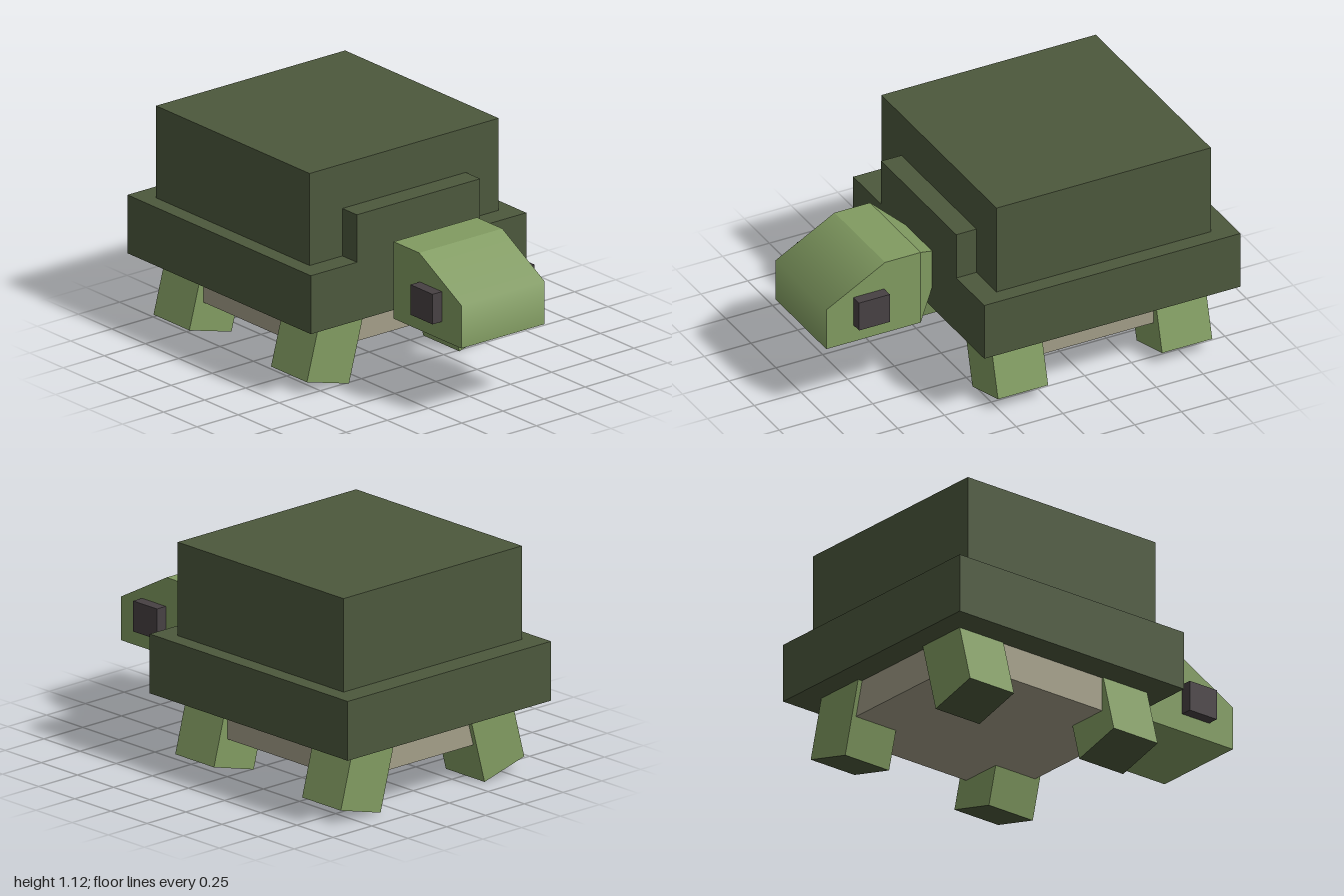
import * as THREE from 'three';

const material = (name, color) => {
  const m = new THREE.MeshStandardMaterial({ color });
  m.name = name;
  return m;
};

export function createModel() {
  const model = new THREE.Group();
  model.name = 'turtle';
  const shellGreen = material('shellGreen', 0x4c583c);
  const skinGreen = material('skinGreen', 0x819b61);
  const bellyTan = material('bellyTan', 0xa39e88);
  const eyeDark = material('eyeDark', 0x474143);

  const add = (name, geometry, mat) => {
    const mesh = new THREE.Mesh(geometry, mat);
    mesh.name = name;
    model.add(mesh);
    return mesh;
  };
  // Box given by its extents along each axis
  const block = (name, [x0, x1], [y0, y1], [z0, z1], mat) => {
    const mesh = add(name, new THREE.BoxGeometry(x1 - x0, y1 - y0, z1 - z0), mat);
    mesh.position.set((x0 + x1) / 2, (y0 + y1) / 2, (z0 + z1) / 2);
    return mesh;
  };

  // Shell and belly
  block('shellRim', [-0.655, 0.655], [0.36, 0.655], [-1, 0.37], shellGreen);
  block('shellTop', [-0.575, 0.575], [0.655, 1.12], [-0.885, 0.262], shellGreen);
  block('shellCollar', [-0.375, 0.375], [0.655, 0.895], [0.262, 0.37], shellGreen);
  block('belly', [-0.505, 0.505], [0.19, 0.38], [-0.86, 0.235], bellyTan);

  // Head: side profile (z, y) extruded across x
  const headWidth = 0.506;
  const profile = new THREE.Shape(
    [[0.495, 0.378], [1, 0.378], [1, 0.595], [0.685, 0.767], [0.495, 0.767]]
      .map(([z, y]) => new THREE.Vector2(z, y)));
  const head = new THREE.ExtrudeGeometry(profile, { depth: headWidth, bevelEnabled: false });
  head.rotateY(-Math.PI / 2).translate(headWidth / 2, 0, 0);
  // Soften the edge where the brow slope meets the face
  const hp = head.attributes.position, hn = head.attributes.normal;
  const soft = new THREE.Vector3(0, 0.48, 0.88).normalize();
  for (let i = 0; i < hp.count; i++) {
    if (hp.getZ(i) > 0.99 && hp.getY(i) > 0.5 && Math.abs(hn.getX(i)) < 0.5) {
      hn.setXYZ(i, soft.x, soft.y, soft.z);
    }
  }
  add('head', head, skinGreen);

  // Neck: box narrowed toward the shell
  const neck = new THREE.BoxGeometry(headWidth, 0.389, 0.125);
  const np = neck.attributes.position;
  for (let i = 0; i < np.count; i++) {
    if (np.getZ(i) < 0) np.setXY(i, np.getX(i) * 0.53, np.getY(i) * 0.52);
  }
  neck.computeVertexNormals();
  add('neck', neck, skinGreen).position.set(0, 0.5725, 0.4325);

  // Eyes and splayed legs, mirrored; the sole is the bottom face of each leg
  const legGeometry = new THREE.BoxGeometry(0.265, 0.45, 0.268);
  const legMaterials = [skinGreen, skinGreen, skinGreen, shellGreen, skinGreen, skinGreen];
  for (const [side, s] of [['left', 1], ['right', -1]]) {
    block(side + 'Eye', s > 0 ? [0.24, 0.31] : [-0.31, -0.24], [0.47, 0.622], [0.69, 0.855], eyeDark);
    for (const [end, z] of [['Front', 0.128], ['Back', -0.75]]) {
      const leg = add(side + end + 'Leg', legGeometry, legMaterials);
      leg.position.set(s * 0.405, 0.252, z);
      leg.rotation.z = s * Math.PI / 12;
    }
  }
  return model;
}
